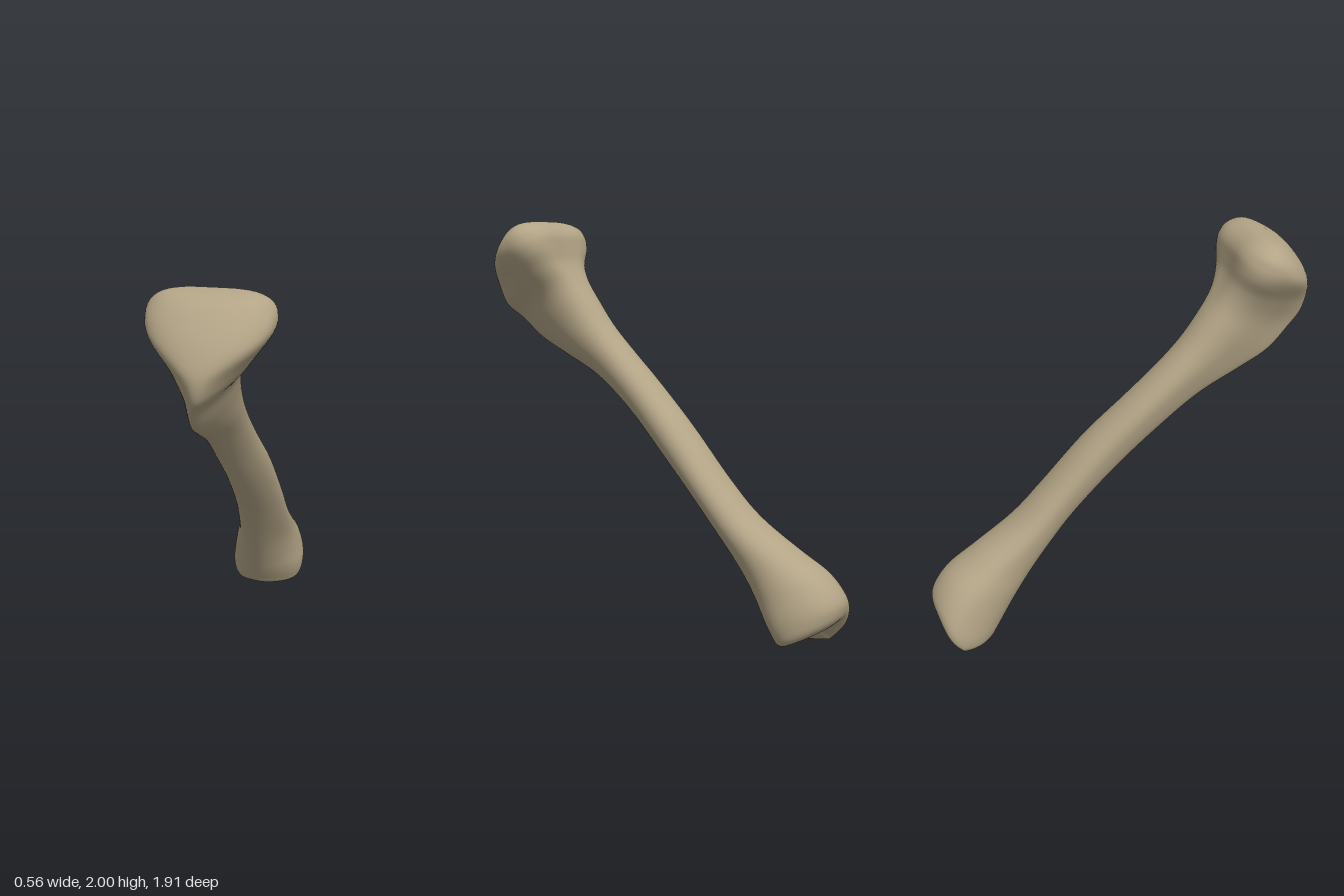
import * as THREE from 'three';

// Edges of the bone in the side plane as [z, y], from the ankle end to the knee end
const FRONT = [[-0.74, 0.07], [-0.69, 0.02], [-0.65, 0.02], [-0.62, 0.06], [-0.575, 0.13], [-0.52, 0.22],
  [-0.44, 0.34], [-0.33, 0.49], [-0.2, 0.65], [0, 0.865], [0.2, 1.06], [0.4, 1.22], [0.6, 1.325], [0.75, 1.405],
  [0.86, 1.505], [0.935, 1.575], [0.957, 1.67], [0.935, 1.76], [0.885, 1.855], [0.81, 1.945], [0.74, 1.985]];
const BACK = [[-0.8, 0.1], [-0.86, 0.1], [-0.92, 0.14], [-0.95, 0.19], [-0.945, 0.26], [-0.87, 0.36],
  [-0.73, 0.455], [-0.52, 0.6], [-0.36, 0.765], [-0.15, 1.01], [0.05, 1.21], [0.2, 1.355], [0.32, 1.485], [0.41, 1.61],
  [0.475, 1.71], [0.515, 1.8], [0.528, 1.88], [0.545, 1.94], [0.59, 1.98], [0.66, 1.998], [0.72, 1.988]];
// Sideways extent [right, left] at the same stations
const WIDTH = [[-0.09, 0.03], [-0.2, 0.1], [-0.25, 0.135], [-0.264, 0.152], [-0.25, 0.158], [-0.22, 0.145],
  [-0.178, 0.128], [-0.148, 0.122], [-0.135, 0.118], [-0.138, 0.1], [-0.152, 0.07], [-0.156, 0.06], [-0.157, 0.066],
  [-0.162, 0.08], [-0.17, 0.11], [-0.205, 0.185], [-0.26, 0.25], [-0.28, 0.275], [-0.265, 0.26], [-0.19, 0.19],
  [-0.03, 0.03]];
const N = FRONT.length;

// Catmull-Rom blend through the stations
function sample(table, t) {
  const i = Math.min(Math.floor(t), N - 2), f = t - i;
  const at = (k) => table[Math.max(0, Math.min(N - 1, k))];
  return [0, 1].map((c) => {
    const a = at(i - 1)[c], b = at(i)[c], d = at(i + 1)[c], e = at(i + 2)[c];
    return b + 0.5 * f * (d - a + f * (2 * a - 5 * b + 4 * d - e + f * (3 * (b - d) + e - a)));
  });
}
const smooth = THREE.MathUtils.smoothstep;

// One cross-section: rounded triangle with a front ridge and a notch between the condyles
function section(t, sides) {
  const [fz, fy] = sample(FRONT, t), [bz, by] = sample(BACK, t), [x0, x1] = sample(WIDTH, t);
  const head = smooth(t, 12.5, 16), ankle = 1 - smooth(t, 3, 7);
  const crest = smooth(t, 8, 15), plateau = smooth(t, 15.3, 17.3);
  const taper = 0.15 + 0.45 * crest - 0.38 * plateau - 0.1 * ankle;
  const power = 1 - 0.1 * head;
  const notch = 0.12 * head * (1 - smooth(t, 18, 20));
  const ridge = -0.03 * (1 - head) * (1 - ankle);
  const skew = 0.25 * ankle;
  const drop = (1 - smooth(t, 1.5, 6)) * smooth(t, 0, 1.2);
  const ring = [];
  let widest = 0;
  for (let j = 0; j < sides; j++) {
    const a = (j / sides) * Math.PI * 2, c = Math.cos(a), s = Math.sin(a);
    const w = Math.sign(c) * Math.abs(c) ** power * (1 - taper * s);
    widest = Math.max(widest, Math.abs(w));
    ring.push([c, s, w]);
  }
  return ring.map(([c, s, w]) => {
    const side = w / widest;
    const x = (x0 + x1) / 2 + (side * (x1 - x0)) / 2 + ridge * Math.max(s, 0) ** 2;
    let u = Math.sign(s) * Math.abs(s) ** power + skew * c * (1 - s * s);
    if (s < 0) u += notch * Math.exp(-((c / 0.35) ** 2));
    // the inner ankle knob hangs below the joint face
    const knob = drop * smooth(-c, 0.2, 0.95) * (1 - 0.6 * Math.abs(s));
    return [x, (fy + by) / 2 + (u * (fy - by)) / 2 - 0.075 * knob, (fz + bz) / 2 + (u * (fz - bz)) / 2 - 0.02 * knob];
  });
}

function boneGeometry(sides = 64, steps = 6) {
  const pos = [], index = [], rings = (N - 1) * steps;
  for (let i = 0; i <= rings; i++) section(i / steps, sides).forEach((p) => pos.push(...p));
  for (let i = 0; i < rings; i++) {
    for (let j = 0; j < sides; j++) {
      const a = i * sides + j, b = i * sides + ((j + 1) % sides);
      index.push(a, a + sides, b, b, a + sides, b + sides);
    }
  }
  // close both ends with a centre point
  [0, rings].forEach((r) => {
    const centre = new THREE.Vector3();
    for (let j = 0; j < sides; j++) centre.add(new THREE.Vector3().fromArray(pos, (r * sides + j) * 3));
    const m = pos.length / 3;
    pos.push(...centre.divideScalar(sides).toArray());
    for (let j = 0; j < sides; j++) {
      const a = r * sides + j, b = r * sides + ((j + 1) % sides);
      if (r === 0) index.push(m, a, b);
      else index.push(m, b, a);
    }
  });
  const g = new THREE.BufferGeometry();
  g.setAttribute('position', new THREE.Float32BufferAttribute(pos, 3));
  g.setIndex(index);
  g.computeVertexNormals();
  g.computeBoundingBox();
  g.translate(0, -g.boundingBox.min.y, 0);
  return g;
}

export function createModel() {
  const group = new THREE.Group();
  group.name = 'shinBone';
  const bone = new THREE.MeshStandardMaterial({ color: 0xb3a486 });
  bone.name = 'bone';
  const mesh = new THREE.Mesh(boneGeometry(), bone);
  mesh.name = 'tibia';
  group.add(mesh);
  return group;
}
